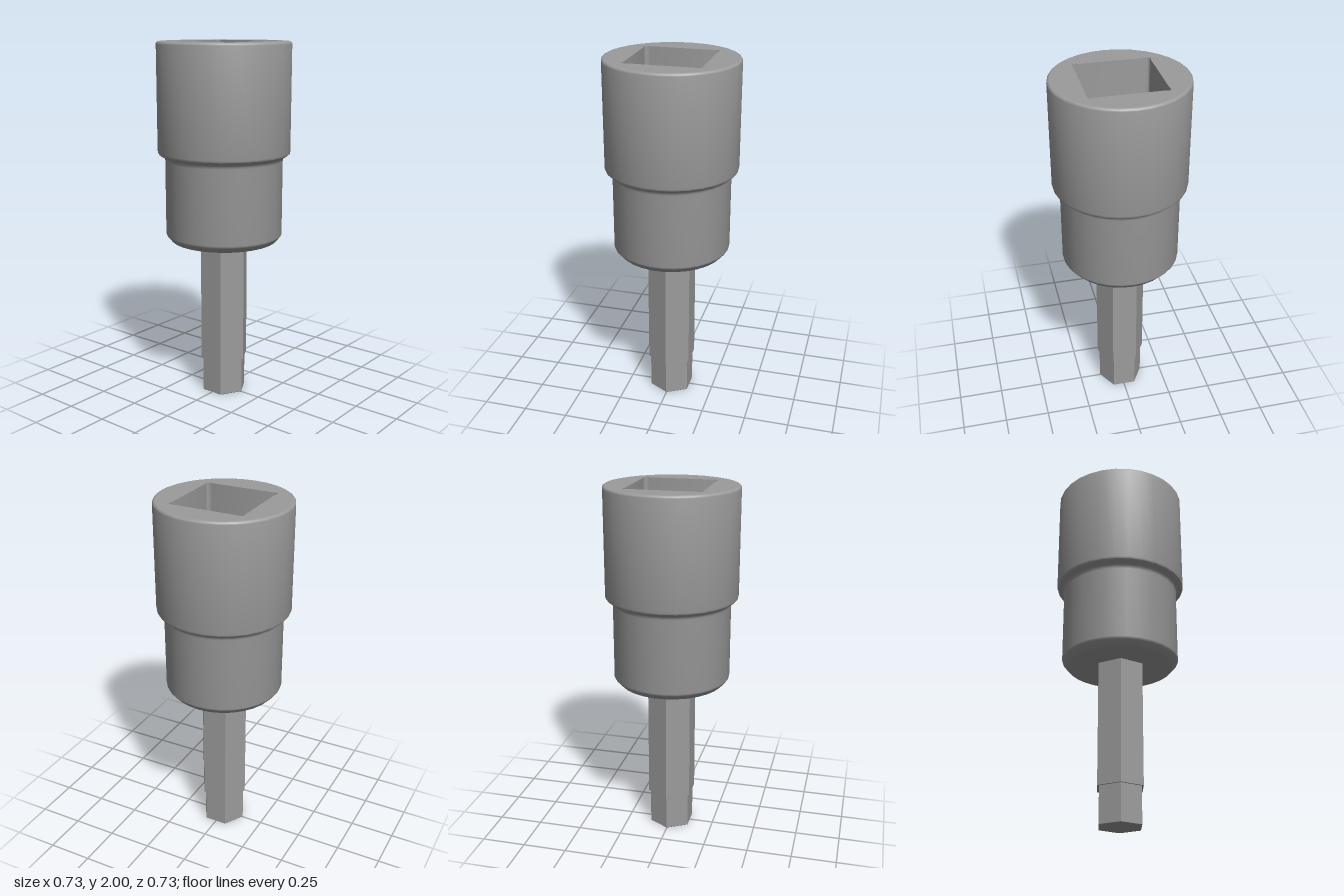
import * as THREE from 'three';
import { toCreasedNormals } from 'three/addons/utils/BufferGeometryUtils.js';

const SIDES = 30;
const TOP = 2, SOCKET_FLOOR = 1.4;
const RIM = 0.353;      // radius of the flat top face
const BORE = 0.203;     // round bore below the square drive
const DRAFT = 0.988;    // the square narrows slightly towards its floor

const material = new THREE.MeshStandardMaterial({ color: 0x9b9b9b });

function addMesh(group, name, geometry, crease = 0.6) {
  const mesh = new THREE.Mesh(toCreasedNormals(geometry, crease), material);
  mesh.name = name;
  group.add(mesh);
}

// Lathe from [radius, height] pairs
const lathe = (pairs) =>
  new THREE.LatheGeometry(pairs.map(([r, y]) => new THREE.Vector2(r, y)), SIDES);

// Points on an arc, for rounded edges
function arc(cx, cy, r, from, to, steps) {
  return Array.from({ length: steps + 1 }, (_, i) => {
    const a = from + ((to - from) * i) / steps;
    return [cx + r * Math.cos(a), cy + r * Math.sin(a)];
  });
}

// Circle whose corners line up with the lathe
function circle(r) {
  return Array.from({ length: SIDES }, (_, i) => {
    const a = Math.PI / 2 + (i * 2 * Math.PI) / SIDES;
    return new THREE.Vector2(r * Math.cos(a), r * Math.sin(a));
  });
}

// Square drive outline with a small rounded relief in each corner
function squareOutline() {
  const corner = [[0.2055, 0.17], [0.208, 0.182],
    ...arc(0.193, 0.193, 0.016, 0, Math.PI / 2, 5), [0.182, 0.208], [0.17, 0.2055]];
  const points = [];
  for (let k = 0; k < 4; k++) {
    for (const [x, y] of corner) {
      points.push(new THREE.Vector2(x, y).rotateAround(new THREE.Vector2(), (k * Math.PI) / 2));
    }
  }
  return points;
}

// Flat horizontal face with a hole
function plate(outer, hole, y) {
  const shape = new THREE.Shape(outer);
  shape.holes.push(new THREE.Path(hole));
  return new THREE.ShapeGeometry(shape).rotateX(-Math.PI / 2).translate(0, y, 0);
}

// Inward-facing walls between a lower and an upper outline
function innerWalls(lower, y0, upper, y1) {
  const positions = [];
  upper.forEach((p, i) => {
    const j = (i + 1) % upper.length;
    const a = [p.x, y1, -p.y], b = [upper[j].x, y1, -upper[j].y];
    const c = [lower[j].x, y0, -lower[j].y], d = [lower[i].x, y0, -lower[i].y];
    positions.push(...a, ...b, ...c, ...a, ...c, ...d);
  });
  const geometry = new THREE.BufferGeometry();
  geometry.setAttribute('position', new THREE.Float32BufferAttribute(positions, 3));
  return geometry;
}

// Hexagonal bar with corners on the x axis
const hexBar = (rTop, rBottom, y0, y1, open = false) =>
  new THREE.CylinderGeometry(rTop, rBottom, y1 - y0, 6, 1, open, Math.PI / 2)
    .translate(0, (y0 + y1) / 2, 0);

export function createModel() {
  const model = new THREE.Group();
  model.name = 'hexBitSocket';

  // Stepped round body: chamfered base, neck, shoulder, wide head, rounded rim
  addMesh(model, 'socketBody', lathe([
    [0, 0.898], [0.288, 0.898], [0.295, 0.901],
    [0.319, 0.928], [0.324, 0.934], [0.326, 0.942],
    [0.326, 1.355], [0.328, 1.365], [0.333, 1.374], [0.342, 1.382],
    [0.355, 1.388], [0.364, 1.396], [0.367, 1.407],
    ...arc(RIM, TOP - 0.014, 0.014, 0, Math.PI / 2, 4),
  ]));

  // Top face and square drive recess
  const square = squareOutline();
  const floorSquare = square.map((p) => p.clone().multiplyScalar(DRAFT));
  addMesh(model, 'topFace', plate(circle(RIM), square, TOP));
  addMesh(model, 'squareDriveWalls', innerWalls(floorSquare, SOCKET_FLOOR, square, TOP));
  addMesh(model, 'squareDriveFloor', plate(floorSquare, circle(BORE), SOCKET_FLOOR));

  // Stepped round bore under the square
  addMesh(model, 'innerBore', lathe([
    [BORE, SOCKET_FLOOR], [BORE - 0.002, 1.3], [0.103, 1.3], [0.101, 1.2], [0, 1.2],
  ]));

  // Hexagonal shank, slightly narrower tip, and a fine chamfer at the end
  const bit = new THREE.Group();
  bit.name = 'hexBit';
  addMesh(bit, 'shank', hexBar(0.14, 0.14, 0.205, 0.905));
  addMesh(bit, 'tip', hexBar(0.129, 0.129, 0.003, 0.206, true));
  addMesh(bit, 'tipEnd', hexBar(0.129, 0.126, 0, 0.003));
  model.add(bit);

  return model;
}
